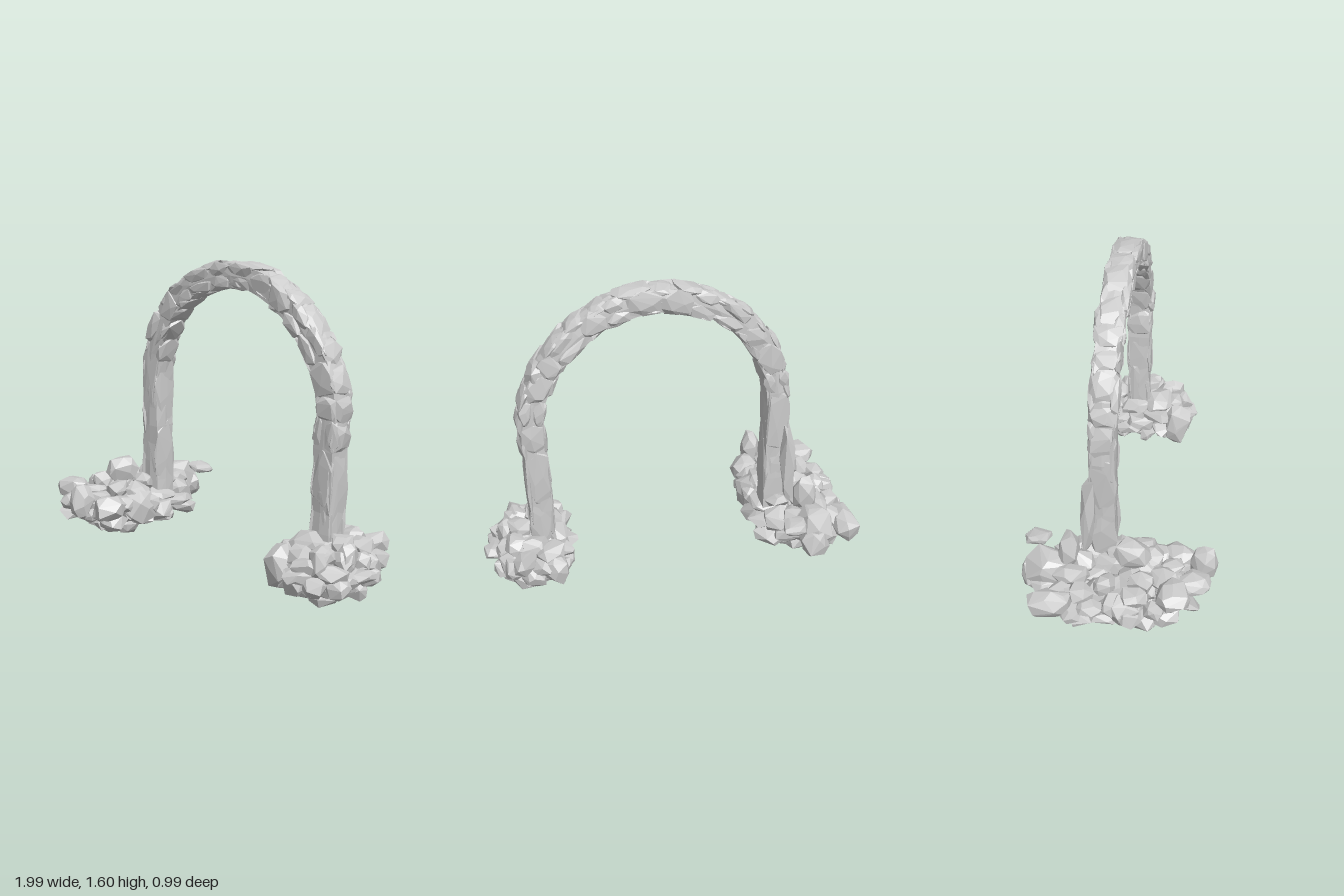
import * as THREE from 'three';
import { ConvexGeometry } from 'three/addons/geometries/ConvexGeometry.js';

const stone = new THREE.MeshStandardMaterial({ color: 0xcccccc, flatShading: true });
const ARCH_Z = -0.085;

function seeded(seed) {
  return () => {
    seed = (seed * 16807) % 2147483647;
    return seed / 2147483647;
  };
}

// Faceted convex rock filling a unit cube
function rockGeometry(rand, count) {
  const pts = [];
  for (let i = 0; i < count; i++) {
    const y = 1 - (2 * (i + 0.5)) / count;
    const a = i * 2.39996 + rand() * 0.9;
    const r = Math.sqrt(1 - y * y);
    const p = new THREE.Vector3(Math.cos(a) * r, y + (rand() - 0.5) * 0.3, Math.sin(a) * r);
    const n = Math.pow(Math.abs(p.x) ** 3.5 + Math.abs(p.y) ** 3.5 + Math.abs(p.z) ** 3.5, 1 / 3.5);
    pts.push(p.multiplyScalar((0.86 + rand() * 0.2) / n));
  }
  const box = new THREE.Box3().setFromPoints(pts);
  const size = box.getSize(new THREE.Vector3());
  const mid = box.getCenter(new THREE.Vector3());
  pts.forEach((p) => p.sub(mid).divide(size));
  return new ConvexGeometry(pts);
}

function addRock(group, rand, name, count) {
  const mesh = new THREE.Mesh(rockGeometry(rand, count), stone);
  mesh.name = name;
  group.add(mesh);
  return mesh;
}

// Centre line: two legs joined by a round bend
const curve = new THREE.CatmullRomCurve3(
  [
    [-0.565, 0.12], [-0.565, 0.65], [-0.555, 0.95], [-0.495, 1.18], [-0.345, 1.375], [-0.15, 1.485],
    [0.08, 1.53], [0.27, 1.505], [0.46, 1.4], [0.625, 1.22], [0.71, 1.0], [0.7, 0.7], [0.69, 0.12],
  ].map(([x, y]) => new THREE.Vector3(x, y, ARCH_Z)),
);

// Rough, square-sided core swept along the centre line
function archCore() {
  const segs = 34, sides = 8;
  const geo = new THREE.TubeGeometry(curve, segs, 1, sides, false);
  const p = geo.attributes.position;
  const v = new THREE.Vector3(), c = new THREE.Vector3();
  for (let i = 0; i < p.count; i++) {
    const ring = Math.floor(i / (sides + 1));
    const k = (i % (sides + 1)) % sides;
    curve.getPointAt(ring / segs, c);
    v.fromBufferAttribute(p, i).sub(c);
    const noise = Math.sin(ring * 12.99 + k * 78.23) * 43758.55;
    const r = 0.057 + 0.01 * (noise - Math.floor(noise));
    v.multiplyScalar(k % 2 ? r * 1.28 : r).add(c);
    p.setXYZ(i, v.x, v.y, v.z);
  }
  const flat = geo.toNonIndexed();
  flat.computeVertexNormals();
  const mesh = new THREE.Mesh(flat, stone);
  mesh.name = 'archCore';
  return mesh;
}

// Slabs set into the four sides of the core: long on the legs, short on the bend
function archStones() {
  const group = new THREE.Group();
  group.name = 'archStones';
  const rand = seeded(4127);
  const length = curve.getLength();
  const front = new THREE.Vector3(0, 0, 1);
  const back = new THREE.Vector3(0, 0, -1);
  for (let side = 0; side < 4; side++) {
    const faceZ = side > 1;
    const sign = side % 2 ? -1 : 1;
    let d = 0.14 + side * 0.03;
    while (d < length - 0.25) {
      const onLeg = curve.getPointAt(d / length).y < 0.85;
      const len = onLeg ? 0.26 + rand() * 0.16 : 0.1 + rand() * 0.08;
      const t = Math.min((d + len / 2) / length, 0.93);
      const c = curve.getPointAt(t);
      const tan = curve.getTangentAt(t);
      const out = new THREE.Vector3().crossVectors(front, tan);
      const frame = new THREE.Matrix4().makeBasis(out, tan, back);
      // Some stones on the faces are split into an upper and a lower half
      const split = faceZ && !onLeg && rand() > 0.45;
      for (const half of split ? [-1, 1] : [0]) {
        const thick = onLeg ? 0.032 : 0.05;
        const bulge = sign * ((onLeg && !faceZ ? 0.051 : 0.049) + (rand() - 0.5) * 0.012);
        const rock = addRock(group, rand, 'archStone', 18);
        rock.quaternion.setFromRotationMatrix(frame);
        rock.rotateZ((rand() - 0.5) * (onLeg ? 0.05 : 0.2));
        rock.scale.set(faceZ ? (split ? 0.072 : 0.13) : thick, len * 1.1, faceZ ? thick : 0.14);
        rock.position.copy(c).addScaledVector(faceZ ? front : out, bulge).addScaledVector(out, half * 0.034);
      }
      d += len;
    }
  }
  // Splinter leaning on the back outer corner of the right leg
  const splinter = addRock(group, rand, 'legSplinter', 14);
  splinter.position.set(-0.625, 0.53, -0.16);
  splinter.scale.set(0.075, 0.48, 0.08);
  splinter.rotation.set(0.06, 0.3, -0.06);
  return group;
}

// Standout boulders: position, then size
const rightBoulders = [
  [-0.72, 0.24, -0.34, 0.18, 0.2, 0.27],
  [-0.7, 0.19, -0.43, 0.15, 0.17, 0.12],
  [-0.91, 0.2, -0.31, 0.14, 0.14, 0.22],
  [-0.58, 0.31, -0.43, 0.12, 0.05, 0.13],
  [-0.7, 0.37, -0.24, 0.12, 0.21, 0.1],
  [-0.7, 0.38, 0.075, 0.14, 0.14, 0.18],
  [-0.62, 0.28, 0.42, 0.11, 0.2, 0.14],
  [-0.73, 0.25, 0.38, 0.14, 0.1, 0.17],
  [-0.86, 0.28, 0.29, 0.18, 0.12, 0.17],
  [-0.54, 0.23, 0.29, 0.16, 0.14, 0.18],
  [-0.53, 0.2, 0.1, 0.18, 0.2, 0.2],
  [-0.91, 0.2, 0.05, 0.14, 0.16, 0.16],
  [-0.7, 0.06, 0.05, 0.18, 0.08, 0.26],
];
const leftBoulders = [
  [0.61, 0.18, 0.15, 0.15, 0.24, 0.15],
  [0.72, 0.15, 0.19, 0.13, 0.14, 0.1],
  [0.82, 0.24, 0.1, 0.09, 0.19, 0.14],
  [0.88, 0.25, -0.02, 0.08, 0.16, 0.12],
  [0.93, 0.17, -0.05, 0.14, 0.06, 0.13],
  [0.91, 0.14, 0.08, 0.12, 0.1, 0.11],
  [0.86, 0.18, -0.18, 0.15, 0.14, 0.13],
  [0.66, 0.19, -0.31, 0.12, 0.15, 0.12],
  [0.85, 0.06, -0.12, 0.13, 0.11, 0.12],
];

// Heap of rocks around a squarish footprint, with standout boulders on top
function rockPile(name, boulders, centre, reach, rubble, seed) {
  const group = new THREE.Group();
  group.name = name;
  const rand = seeded(seed);
  for (const [x, y, z, w, h, d] of boulders) {
    const rock = addRock(group, rand, 'boulder', 24);
    rock.position.set(x, y, z);
    rock.scale.set(w, h, d);
    rock.rotation.set((rand() - 0.5) * 0.4, (rand() - 0.5) * 0.4, (rand() - 0.5) * 0.4);
  }
  const scatter = (part, count, spread, size) => {
    for (let i = 0; i < count; i++) {
      const up = 0.9 - (1.8 * (i + 0.5)) / count;
      const a = i * 2.39996;
      const square = Math.pow(Math.cos(a) ** 4 + Math.sin(a) ** 4, -0.2);
      const r = Math.sqrt(1 - up * up) * (0.82 + rand() * 0.18) * square;
      const rock = addRock(group, rand, part, 18);
      rock.position.set(Math.cos(a) * r, up, Math.sin(a) * r).multiplyScalar(spread).multiply(reach).add(centre);
      rock.scale.set(size * (0.7 + rand() * 0.6), size * (0.45 + rand() * 0.5), size * (0.8 + rand() * 0.9));
      rock.rotation.set((rand() - 0.5) * 0.6, rand() * 3, (rand() - 0.5) * 0.6);
    }
  };
  scatter('heapRock', Math.round(rubble / 3), 0.55, 0.17);
  scatter('rubble', rubble, 1, 0.125);
  return group;
}

export function createModel() {
  const model = new THREE.Group();
  model.name = 'stoneArch';
  const at = (x, y, z) => new THREE.Vector3(x, y, z);
  model.add(
    archCore(),
    archStones(),
    rockPile('rightRockPile', rightBoulders, at(-0.71, 0.19, -0.01), at(0.22, 0.13, 0.35), 54, 911),
    rockPile('leftRockPile', leftBoulders, at(0.74, 0.18, -0.06), at(0.165, 0.13, 0.25), 38, 577),
  );
  return model;
}
